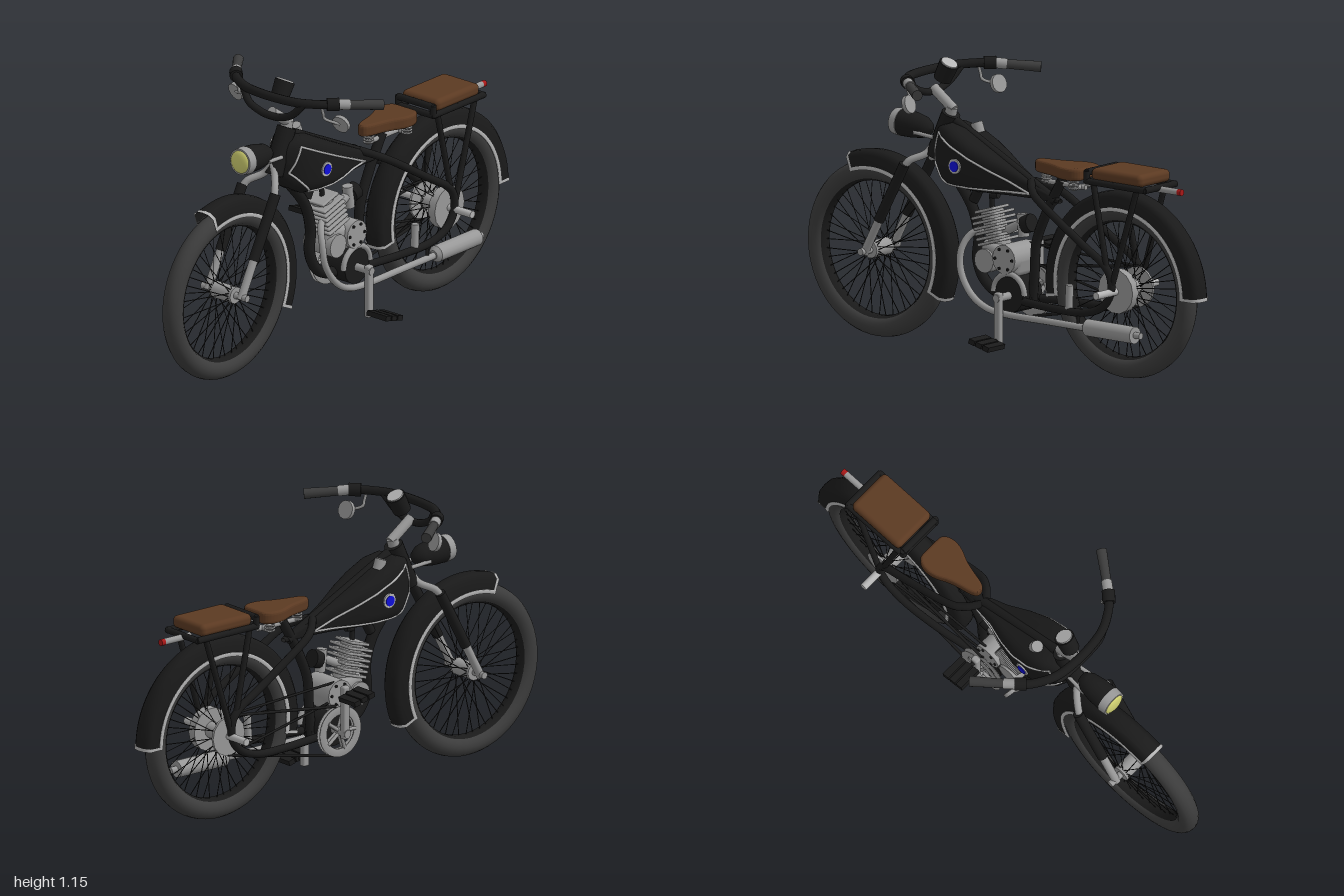
import * as THREE from 'three';
import { mergeGeometries } from 'three/addons/utils/BufferGeometryUtils.js';
import { RoundedBoxGeometry } from 'three/addons/geometries/RoundedBoxGeometry.js';

const V = (p) => new THREE.Vector3(...p);
const mat = (color) => new THREE.MeshStandardMaterial({ color, side: THREE.DoubleSide });
const black = mat(0x1a1a1a), rubber = mat(0x3c3c3c), silver = mat(0x999999), steel = mat(0xb5b5b5);
const brown = mat(0x5c3a22), yellow = mat(0xcfcf70), blue = mat(0x1010dd), red = mat(0xaa1818);

export function createModel() {
  const root = new THREE.Group();
  const add = (name, geo, m, pos = [0, 0, 0], rot = [0, 0, 0], parent = root) => {
    const mesh = new THREE.Mesh(geo, m);
    mesh.name = name;
    mesh.position.set(...pos);
    mesh.rotation.set(...rot);
    parent.add(mesh);
    return mesh;
  };
  // Straight round bar between two points
  const rodGeo = (a, b, r, r2 = r, seg = 14) => {
    const A = V(a), d = V(b).sub(A), g = new THREE.CylinderGeometry(r2, r, d.length(), seg);
    g.applyQuaternion(new THREE.Quaternion().setFromUnitVectors(V([0, 1, 0]), d.clone().normalize()));
    const c = A.addScaledVector(d, 0.5);
    return g.translate(c.x, c.y, c.z);
  };
  const rod = (name, a, b, r, m, r2 = r) => add(name, rodGeo(a, b, r, r2), m);
  const tube = (name, pts, r, m, closed = false, tension = 0.5) =>
    add(name, new THREE.TubeGeometry(new THREE.CatmullRomCurve3(pts.map(V), closed, 'catmullrom', tension), pts.length * 8, r, 10, closed), m);
  // Profile of [radius, x] swept round the wheel axle; 0 is forward, 90 is up
  const arc = (name, profile, from, to, m, pos) => {
    const D = Math.PI / 180;
    const g = new THREE.LatheGeometry(profile.map((p) => new THREE.Vector2(...p)), 56, from * D, (to - from) * D);
    return add(name, g.rotateZ(Math.PI / 2), m, pos);
  };
  const disc = (name, r, x0, x1, y, z, m) => rod(name, [x0, y, z], [x1, y, z], r, m);

  // Wheels with crossed spokes, and fenders with bright edges
  const fenderProfile = (d, w) => [[.315, -w], [.37 + d, -w], [.387 + d, -w * .55], [.39 + d, 0], [.387 + d, w * .55], [.37 + d, w], [.315, w]];
  const wheel = (side, z, from, to) => {
    const c = [0, .35, z];
    const tyre = new THREE.TorusGeometry(.309, .041, 16, 64).rotateY(Math.PI / 2);
    add(side + 'Tyre', tyre, rubber, c);
    arc(side + 'Rim', [[.275, -.026], [.266, -.012], [.266, .012], [.275, .026]], 0, 360, black, c);
    disc(side + 'Hub', .034, -.055, .055, .35, z, silver);
    const spokes = [];
    for (let i = 0; i < 48; i++) {
      const a = i / 48 * Math.PI * 2, s = i % 2 ? 1 : -1, b = a + (i % 4 < 2 ? .3 : -.3);
      spokes.push(rodGeo([s * .045, .034 * Math.sin(b), .034 * Math.cos(b)], [0, .272 * Math.sin(a), .272 * Math.cos(a)], .0018, .0018, 4));
    }
    add(side + 'Spokes', mergeGeometries(spokes), black, c);
    arc(side + 'Fender', fenderProfile(0, .047), from, to, black, c);
    for (const s of [-1, 1]) {
      arc(side + 'FenderTrim', [[.312, s * .046], [.312, s * .051], [.327, s * .051], [.327, s * .046]], from, to, steel, c);
    }
    for (const a of [from, to - 2]) arc(side + 'FenderEndTrim', fenderProfile(.003, .05), a, a + 2, steel, c);
  };
  wheel('front', .65, 70, 205);
  wheel('rear', -.605, -11, 180);
  disc('frontAxle', .014, -.115, .115, .35, .65, silver);
  disc('footPegs', .015, -.183, .183, .35, -.605, steel);
  disc('rearDrum', .088, .03, .065, .35, -.605, silver);
  disc('rearSprocket', .08, -.075, -.065, .35, -.605, silver);

  // Fork, crown and steering head
  for (const s of [-1, 1]) {
    rod('forkUpper', [s * .085, .72, .45], [s * .085, .48, .58], .021, black);
    rod('forkLower', [s * .085, .49, .575], [s * .085, .34, .655], .017, silver);
    tube('forkCrown', [[s * .085, .7, .46], [s * .07, .735, .435], [s * .03, .76, .39], [0, .8, .37]], .015, silver);
    rod('lampBracket', [s * .03, .83, .35], [s * .04, .84, .44], .008, silver);
  }
  rod('headTube', [0, .755, .365], [0, .93, .285], .038, black);
  rod('stem', [0, .92, .29], [0, .955, .28], .024, silver);
  rod('stemArm', [0, .945, .27], [0, 1.02, .375], .021, silver);

  // Headlamp
  const lamp = new THREE.Group();
  lamp.name = 'headlamp';
  lamp.position.set(0, .864, .55);
  lamp.rotation.x = -.06;
  root.add(lamp);
  const shell = [[0, -.165], [.025, -.158], [.042, -.13], [.051, -.08], [.054, -.02]].map((p) => new THREE.Vector2(...p));
  add('lampShell', new THREE.LatheGeometry(shell, 28).rotateX(Math.PI / 2), black, [0, 0, 0], [0, 0, 0], lamp);
  add('lampRing', new THREE.CylinderGeometry(.052, .056, .034, 28).rotateX(Math.PI / 2), silver, [0, 0, -.005], [0, 0, 0], lamp);
  add('lampLens', new THREE.SphereGeometry(.046, 24, 10).scale(1, 1, .3), yellow, [0, 0, .01], [0, 0, 0], lamp);

  // Handlebar, lower brace, grips and mirrors
  tube('handlebar', [[-.25, 1.09, .3], [-.2, 1.09, .34], [-.12, 1.09, .378], [0, 1.09, .39], [.12, 1.09, .378], [.2, 1.09, .34], [.25, 1.09, .3]], .018, black);
  tube('handlebarBrace', [[-.155, 1.085, .365], [-.11, 1.035, .38], [-.05, 1.01, .38], [0, 1.005, .38], [.05, 1.01, .38], [.11, 1.035, .38], [.155, 1.085, .365]], .015, black);
  for (const s of [-1, 1]) {
    rod('barClamp', [s * .232, 1.09, .315], [s * .265, 1.09, .28], .026, black);
    rod('gripCollar', [s * .26, 1.09, .285], [s * .29, 1.085, .247], .021, silver);
    rod('grip', [s * .288, 1.085, .25], [s * .372, 1.075, .142], .018, rubber, .021);
    tube('mirrorArm', [[s * .215, 1.09, .33], [s * .218, 1.05, .32], [s * .222, 1.025, .31], [s * .27, 1.005, .275]], .006, silver);
    rod('mirror', [s * .27, 1.005, .28], [s * .268, 1.01, .265], .037, silver);
  }
  rod('gaugeBody', [0, 1.06, .33], [0, 1.125, .295], .036, black, .04);
  rod('gaugeDial', [0, 1.122, .297], [0, 1.13, .2925], .034, steel);

  // Fuel tank lofted from sections [z, bottom, top, half width]
  const sections = [[.345, .745, .845, .02], [.31, .69, .885, .065], [.26, .66, .9, .095], [.2, .655, .885, .109], [.12, .65, .845, .106],
    [.04, .65, .805, .085], [-.05, .65, .76, .05], [-.15, .65, .71, .028], [-.27, .645, .66, .012]];
  const N = 32, sq = (t) => Math.sign(t) * Math.sqrt(Math.abs(t)), pos = [], idx = [];
  for (const [z, lo, hi, w] of sections) {
    for (let j = 0; j < N; j++) {
      const a = j / N * Math.PI * 2;
      pos.push(w * sq(Math.cos(a)), (lo + hi) / 2 + (hi - lo) / 2 * sq(Math.sin(a)), z);
    }
  }
  for (let i = 0; i < sections.length - 1; i++) for (let j = 0; j < N; j++) {
    const a = i * N + j, b = i * N + (j + 1) % N;
    idx.push(a, a + N, b, b, a + N, b + N);
  }
  for (let j = 1; j < N - 1; j++) idx.push(0, j, j + 1);
  const tank = new THREE.BufferGeometry();
  tank.setAttribute('position', new THREE.Float32BufferAttribute(pos, 3));
  tank.setIndex(idx);
  tank.computeVertexNormals();
  add('fuelTank', tank, black);
  // Half width of the tank at a given height and depth
  const tankX = (y, z) => {
    const i = Math.max(1, sections.findIndex((s) => s[0] <= z)), A = sections[i - 1], B = sections[i];
    const [, lo, hi, w] = A.map((v, k) => v + (B[k] - v) * (A[0] - z) / (A[0] - B[0]));
    const v = Math.min(.97, Math.abs((y - (lo + hi) / 2) / ((hi - lo) / 2)));
    return w * Math.pow(1 - v ** 4, .25);
  };
  const trimCorners = [[.865, .285], [.67, -.14], [.668, .24], [.76, .325]];
  for (const s of [-1, 1]) {
    const line = [];
    trimCorners.forEach(([y, z], i) => {
      const [y2, z2] = trimCorners[(i + 1) % 4];
      for (let t = 0; t < 1; t += .1) {
        const Y = y + (y2 - y) * t, Z = z + (z2 - z) * t;
        line.push([s * (tankX(Y, Z) + .001), Y, Z]);
      }
    });
    tube('tankTrim', line, .0045, steel, true);
    disc('badgeRing', .03, s * .1, s * .113, .75, .175, steel);
    disc('badge', .021, s * .1, s * .116, .75, .175, blue);
  }
  rod('fuelCap', [-.04, .86, .175], [-.04, .9, .19], .024, silver);

  // Frame tubes
  rod('topTube', [0, .9, .26], [0, .65, -.25], .02, black);
  tube('downTube', [[0, .77, .35], [0, .69, .27], [0, .58, .18], [0, .47, .145], [0, .37, .15], [0, .29, .11], [0, .25, .03], [0, .245, -.14]], .022, black);
  tube('seatTube', [[0, .74, -.28], [0, .69, -.25], [0, .6, -.2], [0, .48, -.15], [0, .36, -.14], [0, .24, -.13]], .02, black);
  for (const s of [-1, 1]) {
    tube('rearFrame', [[s * .01, .715, -.13], [s * .06, .69, -.18], [s * .085, .65, -.25], [s * .09, .52, -.46], [s * .09, .46, -.56], [s * .09, .41, -.6],
      [s * .09, .34, -.6], [s * .09, .28, -.55], [s * .088, .25, -.45], [s * .075, .245, -.3], [s * .05, .245, -.13]], .016, black);
    // Rear rack struts and rails
    rod('rackStrutFront', [s * .085, .77, -.51], [s * .09, .45, -.58], .012, black);
    rod('rackStrutRear', [s * .085, .77, -.73], [s * .09, .38, -.61], .012, black);
    rod('rackRail', [s * .09, .775, -.475], [s * .09, .775, -.78], .013, black);
  }
  for (const z of [-.48, -.62, -.775]) disc('rackCrossbar', .013, -.095, .095, .775, z, black);
  rod('rackFrontStop', [-.09, .81, -.48], [.09, .81, -.48], .014, black);
  for (const s of [-1, 1]) rod('rackStopPost', [s * .09, .77, -.48], [s * .09, .815, -.48], .013, black);
  add('rackPad', new RoundedBoxGeometry(.19, .05, .255, 3, .02), brown, [0, .806, -.628]);
  rod('tailLampTube', [0, .768, -.74], [0, .768, -.87], .013, silver);
  rod('tailLamp', [0, .768, -.87], [0, .768, -.888], .013, red);

  // Sprung saddle
  const outline = new THREE.Shape();
  outline.moveTo(0, .16);
  outline.bezierCurveTo(.03, .16, .02, .24, .06, .31);
  outline.bezierCurveTo(.085, .36, .07, .41, .045, .41);
  outline.lineTo(-.045, .41);
  outline.bezierCurveTo(-.07, .41, -.085, .36, -.06, .31);
  outline.bezierCurveTo(-.02, .24, -.03, .16, 0, .16);
  const saddle = new THREE.ExtrudeGeometry(outline, { depth: .025, bevelSize: .01, bevelThickness: .012, bevelSegments: 3, curveSegments: 10 });
  // the shape's y axis becomes +z here, so mirror the depth by rotating past vertical
  add('saddle', saddle.rotateX(Math.PI / 2).rotateZ(Math.PI).rotateY(Math.PI).scale(1, 1, 1).rotateX(0), brown, [0, .772, 0]);
  for (const [x, z] of [[-.045, -.375], [.045, -.375], [0, -.2]]) {
    for (let i = 0; i < 4; i++) add('saddleSpring', new THREE.TorusGeometry(.018, .004, 6, 14).rotateX(Math.PI / 2), silver, [x, .727 + i * .011, z]);
  }
  rod('saddleRail', [0, .725, -.19], [0, .725, -.4], .01, silver);
  rod('saddleRearBar', [-.05, .725, -.375], [.05, .725, -.375], .01, silver);

  // Engine: finned barrel leaning forward over the crankcase
  const barrel = new THREE.Group();
  barrel.name = 'engineBarrel';
  barrel.position.set(0, .42, .03);
  barrel.rotation.x = .3;
  root.add(barrel);
  add('barrelCore', new THREE.CylinderGeometry(.046, .046, .18, 20), silver, [0, .07, 0], [0, 0, 0], barrel);
  for (let i = 0; i < 7; i++) {
    const w = i > 5 ? .1 : .125;
    add('coolingFin', new RoundedBoxGeometry(w, .012, w, 2, .005), silver, [0, .04 + i * .021, 0], [0, 0, 0], barrel);
  }
  rod('sparkPlug', [0, .575, .075], [0, .635, .08], .01, black);
  rod('plugCap', [0, .63, .083], [0, .636, .045], .012, black);
  rod('ignitionCoil', [0, .6, .17], [0, .645, .145], .02, black);
  add('crankcase', new RoundedBoxGeometry(.12, .1, .2, 3, .03), silver, [0, .4, 0], [-.25, 0, 0]);
  disc('clutchCover', .058, -.075, .075, .405, -.045, silver);
  disc('magnetoCover', .048, -.07, .07, .385, .06, silver);
  for (let i = 0; i < 6; i++) {
    const a = i * Math.PI / 3;
    disc('coverBolt', .006, -.08, .08, .405 + .043 * Math.sin(a), -.045 + .043 * Math.cos(a), black);
  }
  rod('intake', [0, .5, .01], [0, .54, -.07], .018, silver);
  rod('carburettor', [0, .58, -.075], [0, .49, -.085], .022, silver);
  rod('airFilter', [0, .54, -.09], [0, .55, -.125], .036, black);

  // Bottom bracket, chainrings, chains, cranks and pedals
  disc('bottomBracket', .072, -.055, .062, .265, -.06, black);
  add('bracketCover', new THREE.TorusGeometry(.078, .012, 8, 28, Math.PI).rotateY(-Math.PI / 2), silver, [.06, .27, -.06]);
  disc('crankAxle', .016, -.14, .14, .262, -.06, silver);
  for (const x of [-.078, -.094]) {
    arc('chainring', [[.07, -.003], [.102, -.003], [.102, .003], [.07, .003], [.07, -.003]], 0, 360, silver, [x, .262, -.06]);
    for (let i = 0; i < 5; i++) {
      const a = i * Math.PI * .4;
      rod('chainringArm', [x, .262, -.06], [x, .262 + .075 * Math.sin(a), -.06 + .075 * Math.cos(a)], .007, silver);
    }
  }
  for (const k of [-1, 1]) {
    rod('pedalChain', [-.078, .262 + k * .1, -.07], [-.07, .35 + k * .08, -.605], .006, black);
    rod('driveChain', [-.06, .42 + k * .035, -.05], [-.068, .35 + k * .08, -.605], .005, black);
    const y = .262 - k * .168;
    add('crankArm', new RoundedBoxGeometry(.028, .215, .032, 2, .008), silver, [k * .123, .262 - k * .085, -.06]);
    disc('pedalAxle', .008, k * .12, k * .25, y, -.06, black);
    for (const d of [-.035, 0, .035]) add('pedalBar', new THREE.BoxGeometry(.1, .02, .03), black, [k * .2, y + d * .25, -.065 + d], [-.25, 0, 0]);
  }

  // Exhaust and side stand
  tube('exhaustPipe', [[.02, .5, .09], [.05, .48, .14], [.08, .42, .165], [.09, .34, .16], [.095, .26, .11], [.095, .21, .03], [.095, .195, -.08], [.095, .195, -.28], [.095, .195, -.49]], .014, silver);
  rod('muffler', [.095, .198, -.49], [.095, .198, -.73], .034, silver);
  rod('mufflerFrontCone', [.095, .198, -.475], [.095, .198, -.49], .018, silver, .034);
  rod('mufflerTip', [.095, .198, -.73], [.095, .198, -.76], .013, silver);
  rod('exhaustHanger', [.09, .26, -.44], [.095, .19, -.44], .007, black);
  rod('sideStand', [.08, .25, -.38], [.08, .35, -.385], .016, silver);
  return root;
}
